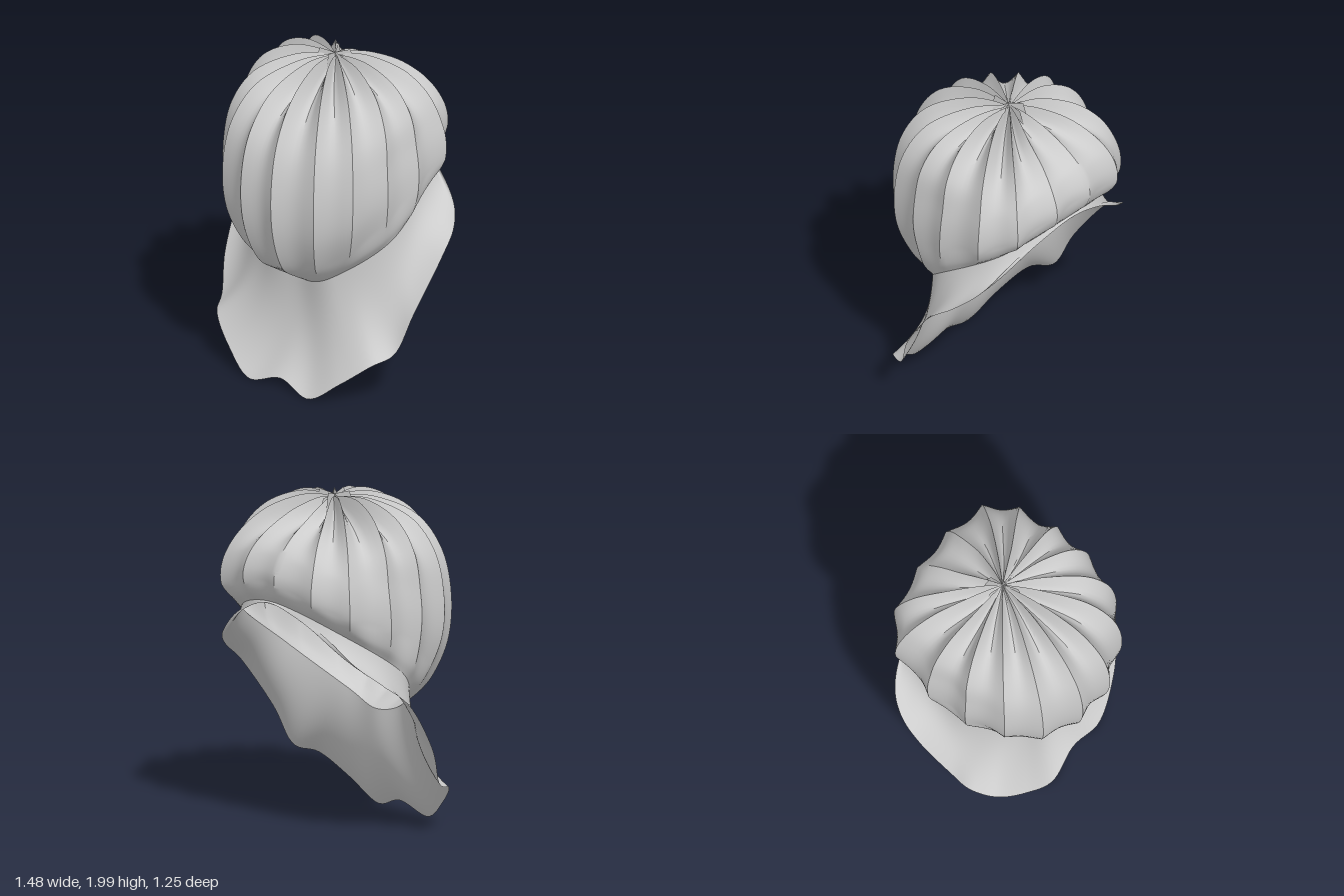
import * as THREE from 'three';
import { toCreasedNormals } from 'three/addons/utils/BufferGeometryUtils.js';

const cloth = new THREE.MeshStandardMaterial({ color: 0xcccccc, side: THREE.DoubleSide });
cloth.name = 'light grey cloth';

const ROWS = 48, COLS = 128, TURN = Math.PI * 2;

// Closed sheet of rings: point(row, a), a being the angle round the head (0 = front)
function ringSheet(name, rows, point, crease) {
  const pos = [], index = [];
  for (let i = 0; i <= rows; i++)
    for (let j = 0; j < COLS; j++) pos.push(...point(i, (j / COLS) * TURN).toArray());
  for (let i = 0; i < rows; i++)
    for (let j = 0; j < COLS; j++) {
      const k = (j + 1) % COLS, a = i * COLS + j, b = i * COLS + k, c = a + COLS, d = b + COLS;
      index.push(a, c, b, b, c, d);
    }
  let g = new THREE.BufferGeometry();
  g.setAttribute('position', new THREE.Float32BufferAttribute(pos, 3));
  g.setIndex(index);
  if (crease) g = toCreasedNormals(g, crease);
  else g.computeVertexNormals();
  const mesh = new THREE.Mesh(g, cloth);
  mesh.name = name;
  return mesh;
}

// Smooth loop through points given from front centre to back centre on the left side
function mirroredLoop(half) {
  const other = half.slice(1, -1).reverse().map((p) => new THREE.Vector3(-p.x, p.y, p.z));
  return new THREE.CatmullRomCurve3([...half, ...other], true, 'catmullrom', 0.5);
}

// Crown outlines (radius, height), gathered top to tilted opening, every 45 degrees from front to back
const outlines = [
  [[0.002, 1.96], [0.2, 1.92], [0.42, 1.81], [0.56, 1.62], [0.615, 1.36], [0.59, 1.06], [0.48, 0.81], [0.35, 0.71], [0.25, 0.645]],
  [[0.002, 1.96], [0.2, 1.92], [0.43, 1.81], [0.56, 1.62], [0.61, 1.37], [0.59, 1.1], [0.5, 0.89], [0.43, 0.795], [0.345, 0.725]],
  [[0.002, 1.96], [0.24, 1.925], [0.43, 1.83], [0.53, 1.69], [0.565, 1.5], [0.58, 1.35], [0.575, 1.2], [0.555, 1.07], [0.52, 0.99]],
  [[0.002, 1.96], [0.2, 1.92], [0.42, 1.845], [0.57, 1.74], [0.66, 1.62], [0.695, 1.5], [0.69, 1.4], [0.65, 1.33], [0.59, 1.28]],
  [[0.002, 1.96], [0.13, 1.91], [0.28, 1.855], [0.45, 1.775], [0.55, 1.7], [0.605, 1.6], [0.61, 1.53], [0.59, 1.46], [0.555, 1.41]],
].map((pts) => new THREE.CatmullRomCurve3(pts.map(([r, y]) => new THREE.Vector3(r, y, 0))));

const crownRings = [];
for (let i = 0; i <= ROWS; i++) {
  crownRings.push(mirroredLoop(outlines.map((outline, k) => {
    const p = outline.getPoint(i / ROWS), a = (k * Math.PI) / 4;
    return new THREE.Vector3(p.x * Math.sin(a), p.y, p.x * Math.cos(a));
  })));
}

function crownPoint(row, a) {
  const t = row / ROWS;
  // panels sit slightly off the centre line
  const turned = (a - 0.05 + TURN) % TURN;
  const p = crownRings[row].getPoint(turned / TURN);
  // sharp ridges with hollow pleats between, deepest at the gathers, flat at the opening
  const depth = (0.06 + 0.25 * (1 - t) ** 6) * Math.min(1, (1 - t) * 4);
  const wobble = 1 + 0.25 * Math.sin(3 * a + 0.8);
  const pleat = depth * wobble * (0.5 - Math.abs(Math.cos(8 * a)));
  // on the flat top the pleats rise and sink instead
  const lift = 0.7 * Math.sin(Math.PI * Math.min(1, 2 * t));
  return new THREE.Vector3(
    p.x * (1 + pleat), p.y + lift * pleat, p.z * (1 + pleat) - 0.08 * (1 - t) ** 4);
}

// Wavy hem of the flared collar
const hem = mirroredLoop([
  [0, 0.07, 0.43], [0.22, 0.01, 0.45], [0.41, 0.14, 0.4], [0.57, 0.27, 0.31], [0.645, 0.33, 0.17],
  [0.7, 0.56, 0.07], [0.74, 0.85, -0.13], [0.7, 0.99, -0.3], [0.58, 1.11, -0.42], [0.34, 1.29, -0.5], [0, 1.4, -0.565],
].map((p) => new THREE.Vector3(...p)));

function collarPoint(row, a) {
  const inner = crownRings[ROWS].getPoint(a / TURN), outer = hem.getPoint(a / TURN);
  // a narrow neck drops from the opening before flaring out
  const mid = new THREE.Vector3(
    inner.x + 0.2 * (outer.x - inner.x), inner.y + 0.62 * (outer.y - inner.y), inner.z - 0.02);
  return new THREE.QuadraticBezierCurve3(inner, mid, outer).getPoint(row / 20);
}

export function createModel() {
  const group = new THREE.Group();
  group.name = 'bonnet';
  group.add(ringSheet('pleatedCrown', ROWS, crownPoint, 0.6));
  group.add(ringSheet('flaredCollar', 20, collarPoint));

  // Small folded ends of the gathers at the top
  const gathers = new THREE.Group();
  gathers.name = 'topGathers';
  gathers.position.z = -0.07;
  for (let i = 0; i < 9; i++) {
    const shape = new THREE.Shape([
      new THREE.Vector2(0, 1.91), new THREE.Vector2(0.12, 1.88),
      new THREE.Vector2(0.09, 1.96 + 0.04 * (i % 2)), new THREE.Vector2(0, 1.975),
    ]);
    const fold = new THREE.Mesh(new THREE.ShapeGeometry(shape), cloth);
    fold.name = 'gatherFold';
    fold.rotation.y = (i / 9) * TURN + 0.2 * Math.sin(i * 4);
    gathers.add(fold);
  }
  group.add(gathers);
  return group;
}
